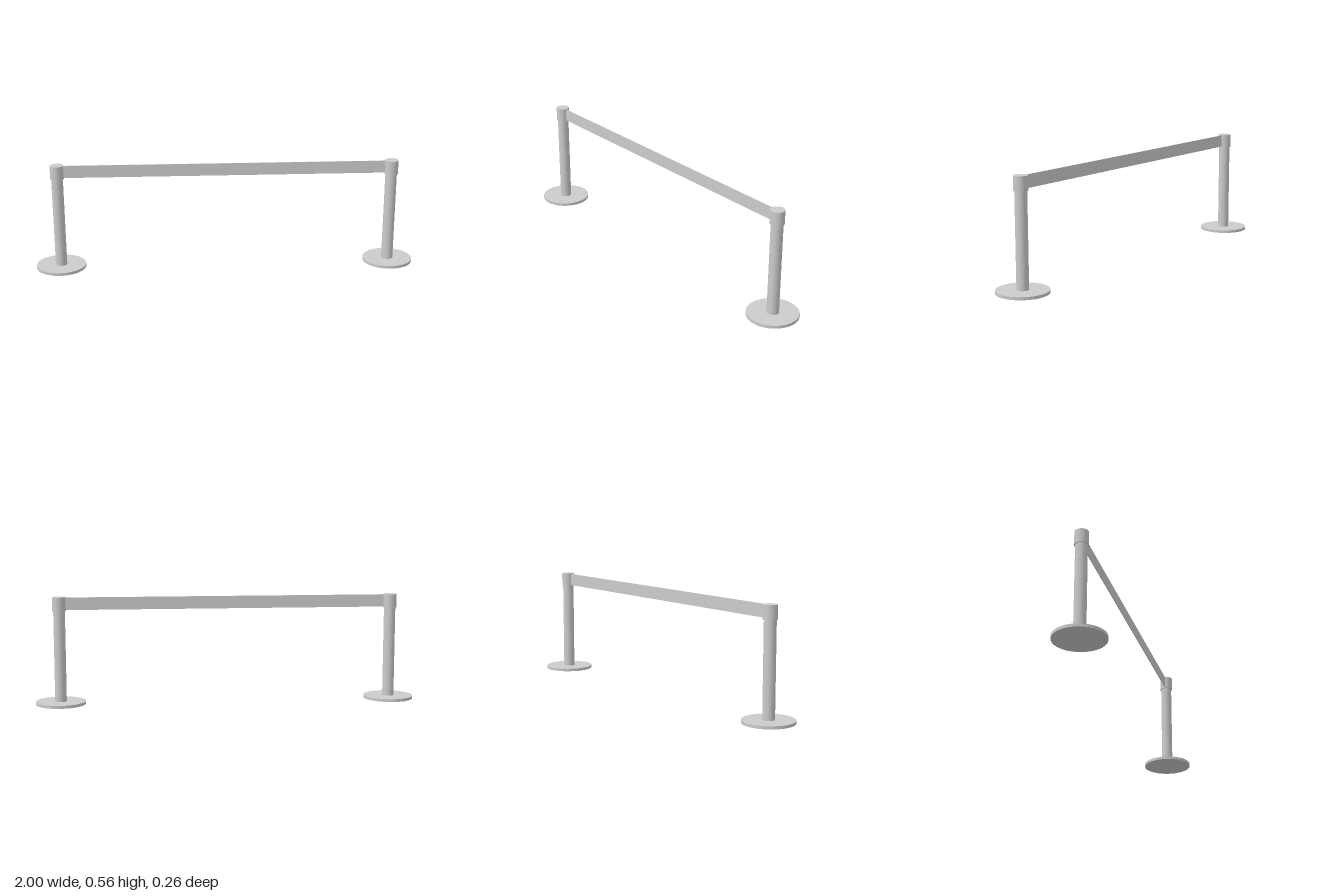
import * as THREE from 'three';

const SIDES = 32;
const POST_X = 0.87;

export function createModel() {
  const model = new THREE.Group();
  model.name = 'queueBarrier';
  const material = new THREE.MeshStandardMaterial({ color: 0xcccccc, flatShading: true });

  // Upright cylinder spanning two heights
  const disc = (name, radius, bottom, top) => {
    const mesh = new THREE.Mesh(
      new THREE.CylinderGeometry(radius, radius, top - bottom, SIDES), material);
    mesh.name = name;
    mesh.position.y = (bottom + top) / 2;
    return mesh;
  };

  // Two matching stands: floor plate, pole and belt head
  for (const side of [-1, 1]) {
    const stand = new THREE.Group();
    stand.name = side > 0 ? 'leftStand' : 'rightStand';
    stand.position.x = side * POST_X;
    stand.add(
      disc('base', 0.13, 0, 0.015),
      disc('post', 0.03, 0.015, 0.488),
      disc('beltHead', 0.035, 0.488, 0.56)
    );
    model.add(stand);
  }

  // Thin belt stretched between the heads
  const belt = new THREE.Mesh(
    new THREE.BoxGeometry(2 * (POST_X - 0.025), 0.065, 0.004), material);
  belt.name = 'belt';
  belt.position.y = 0.525;
  model.add(belt);

  return model;
}
